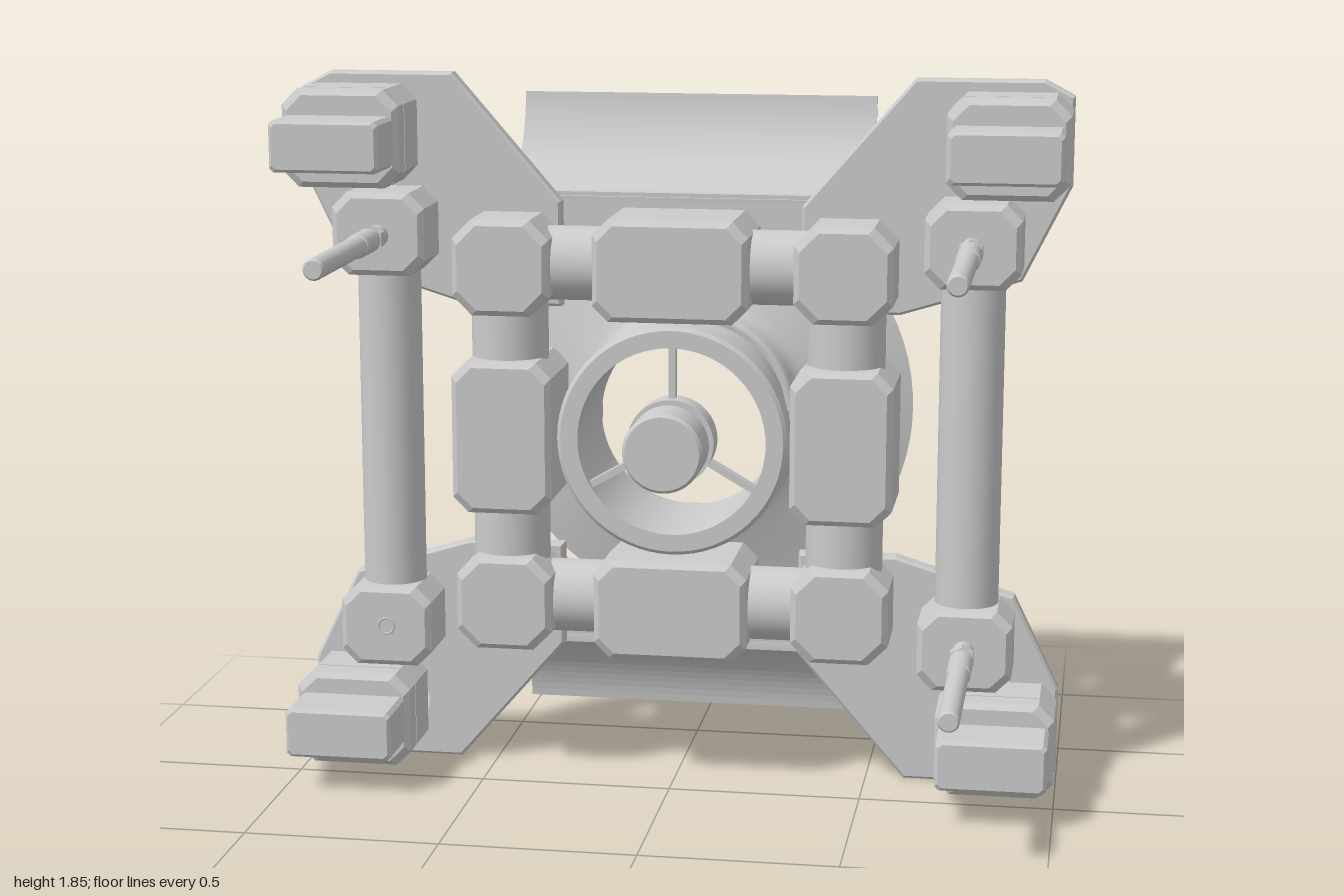
import * as THREE from 'three';
import { ConvexGeometry } from 'three/addons/geometries/ConvexGeometry.js';

const CY = 0.925; // height of the centre of the frame
const mat = new THREE.MeshStandardMaterial({ color: 0xcccccc, side: THREE.DoubleSide });

function add(parent, name, geo, x = 0, y = 0, z = 0) {
  const m = new THREE.Mesh(geo, mat);
  m.name = name;
  m.position.set(x, y, z);
  parent.add(m);
  return m;
}

// Corner points of a rectangle with cut corners
function octagon(w, h, c) {
  const a = w / 2, b = h / 2;
  return [[a, b - c], [a - c, b], [c - a, b], [-a, b - c], [-a, c - b], [c - a, -b], [a - c, -b], [a, c - b]]
    .map(([x, y]) => new THREE.Vector2(x, y));
}

// Block with cut corners and bevelled front and back edges, from z0 to z1
function block(parent, name, x, y, w, h, z0, z1, c = 0.04, e = 0.015) {
  const pts = [];
  for (const [inset, a, b] of [[0, z0 + e, z1 - e], [e, z0, z1]]) {
    for (const p of octagon(w - 2 * inset, h - 2 * inset, c)) {
      pts.push(new THREE.Vector3(p.x, p.y, a), new THREE.Vector3(p.x, p.y, b));
    }
  }
  return add(parent, name, new ConvexGeometry(pts), x, y, 0);
}

function extrude(shape, depth, bevel = 0) {
  return new THREE.ExtrudeGeometry(shape, {
    depth, curveSegments: 24, bevelEnabled: bevel > 0, bevelSize: bevel, bevelOffset: -bevel,
    bevelThickness: bevel, bevelSegments: 1,
  });
}

function circleHole(x, y, r) {
  return new THREE.Path().absarc(x, y, r, 0, Math.PI * 2, true);
}

// Lathe about the z axis; each profile section is turned apart so its edges stay sharp
function turned(parent, name, profile, x, y, sharp = true, segs = 64) {
  const g = new THREE.Group();
  g.name = name;
  g.position.set(x, y, 0);
  const lathe = (list) => {
    const geo = new THREE.LatheGeometry(list.map(([r, z]) => new THREE.Vector2(r, z)), segs);
    add(g, name + 'Surface', geo.rotateX(Math.PI / 2));
  };
  if (sharp) for (let i = 1; i < profile.length; i++) lathe([profile[i - 1], profile[i]]);
  else lathe(profile);
  parent.add(g);
}

function corner(root, sx, sy) {
  const g = new THREE.Group();
  g.name = 'corner' + (sy > 0 ? 'Upper' : 'Lower') + (sx > 0 ? 'Left' : 'Right');
  root.add(g);
  const Y = (d) => CY + sy * d;

  // Mounting plate with a round hole
  const outline = [[1, 0.885], [0.925, 0.925], [0.6, 0.925], [0.315, 0.595], [0.315, 0.32], [0.57, 0.32], [0.88, 0.415], [1, 0.66]];
  const plate = new THREE.Shape(outline.map(([x, y]) => new THREE.Vector2(sx * x, sy * y)));
  plate.holes.push(circleHole(sx * 0.76, sy * 0.763, 0.068));
  add(g, 'cornerPlate', extrude(plate, 0.036, 0.007), 0, CY, -0.225);

  // Outer block with a round pocket at its back, and a smaller box in front
  const bx = sx * 0.845, by = 0.77;
  const back = new THREE.Shape(octagon(0.305, 0.25, 0.04));
  back.holes.push(circleHole(sx * -0.082, sy * -0.007, 0.067));
  add(g, 'outerBlockBack', extrude(back, 0.13), bx, Y(by), -0.18);
  block(g, 'outerBlock', bx, Y(by), 0.305, 0.25, -0.06, 0.025);
  block(g, 'frontBox', bx, Y(0.765), 0.28, 0.13, 0.02, 0.18, 0.01, 0.008);

  // Block holding the end of the post
  block(g, 'postBlock', sx * 0.762, Y(0.522), 0.243, 0.215, -0.243, -0.015);

  // Corner block of the inner frame
  block(g, 'frameCornerBlock', sx * 0.44, Y(0.443), 0.252, 0.248, -0.25, -0.001, 0.05);

  // Rod with hexagonal nut; one corner has only an empty socket
  const rx = sx * 0.76, ry = Y(0.52);
  if (sx > 0 || sy > 0) {
    turned(g, 'rod', [[0, 0.58], [0.022, 0.58], [0.027, 0.572], [0.027, 0.19], [0.031, 0.187], [0.031, 0.075], [0.02, 0.07], [0.02, -0.02]], rx, ry, true, 24);
    const nut = new THREE.CylinderGeometry(0.034, 0.034, 0.035, 6).toNonIndexed();
    nut.computeVertexNormals();
    add(g, 'nut', nut.rotateX(Math.PI / 2), rx, ry, 0.045);
    add(g, 'washer', new THREE.CylinderGeometry(0.028, 0.028, 0.04, 24).rotateX(Math.PI / 2), rx, ry, 0.005);
  } else {
    add(g, 'socketRim', new THREE.TorusGeometry(0.021, 0.003, 6, 24), rx, ry, -0.015);
  }
}

export function createModel() {
  const root = new THREE.Group();
  root.name = 'hornAssembly';

  for (const sx of [1, -1]) {
    for (const sy of [1, -1]) corner(root, sx, sy);

    // Outer post, side box and the upright tube through it
    add(root, 'post', new THREE.CylinderGeometry(0.082, 0.082, 0.86, 40), sx * 0.76, CY, -0.127);
    block(root, 'sideBox', sx * 0.44, CY, 0.262, 0.4, -0.258, 0.005);
    add(root, 'uprightTube', new THREE.CylinderGeometry(0.1, 0.1, 0.7, 40), sx * 0.44, CY, -0.13);
  }

  for (const sy of [1, -1]) {
    // Middle box and cross tube
    block(root, 'middleBox', 0, CY + sy * 0.444, 0.4, 0.262, -0.262, 0.008);
    add(root, 'crossTube', new THREE.CylinderGeometry(0.096, 0.096, 0.7, 40).rotateZ(Math.PI / 2), 0, CY + sy * 0.444, -0.132);

    // Curved deflector on its mounting strip
    add(root, 'deflectorStrip', new THREE.BoxGeometry(0.95, 0.135, 0.025), 0, CY + sy * 0.545, -0.277);
    const arc = new THREE.Shape();
    const n = 20;
    const at = (r, i) => {
      const t = 0.05 + (1.46 - 0.05) * (i / n);
      return [0.245 + r * Math.sin(t), sy * (0.88 - r * Math.cos(t))];
    };
    for (let i = 0; i <= n; i++) i ? arc.lineTo(...at(0.289, i)) : arc.moveTo(...at(0.289, 0));
    for (let i = n; i >= 0; i--) arc.lineTo(...at(0.279, i));
    // Shape x becomes -z, extrusion runs along x
    add(root, 'deflector', extrude(arc, 0.95).rotateY(Math.PI / 2), -0.475, CY, 0);
  }

  // Front ring and tube behind it
  turned(root, 'hornTube', [[0.245, -0.38], [0.245, -0.03], [0.29, -0.03], [0.3, -0.04], [0.3, -0.12], [0.257, -0.12], [0.257, -0.38], [0.245, -0.38]], 0, CY);

  // Flared dish
  const flare = new THREE.SplineCurve([[0.25, -0.405], [0.273, -0.408], [0.288, -0.465], [0.33, -0.497], [0.45, -0.54], [0.58, -0.58]]
    .map(([r, z]) => new THREE.Vector2(r, z))).getPoints(40).map((p) => [p.x, p.y]);
  turned(root, 'dish', flare, 0, CY, false, 80);

  // Tabs joining tube and dish
  for (let i = 0; i < 4; i++) {
    const a = (i * Math.PI) / 2;
    const tab = add(root, 'tab', new THREE.BoxGeometry(0.012, 0.04, 0.05), Math.cos(a) * 0.255, CY + Math.sin(a) * 0.255, -0.39);
    tab.rotation.z = a;
  }

  // Central knob, three spokes and feed pin
  turned(root, 'knob', [[0, 0.118], [0.095, 0.118], [0.103, 0.11], [0.103, 0.0], [0.09, 0.0], [0.09, -0.02], [0.112, -0.02], [0.112, -0.09], [0, -0.09]], 0, CY);
  for (let i = 0; i < 3; i++) {
    const a = Math.PI / 2 + (i * Math.PI * 2) / 3;
    const spoke = add(root, 'spoke', new THREE.BoxGeometry(0.15, 0.018, 0.03), Math.cos(a) * 0.175, CY + Math.sin(a) * 0.175, -0.06);
    spoke.rotation.z = a;
  }
  add(root, 'feedPin', new THREE.CylinderGeometry(0.016, 0.016, 0.3, 20).rotateX(Math.PI / 2), 0, CY, -0.24);

  return root;
}
